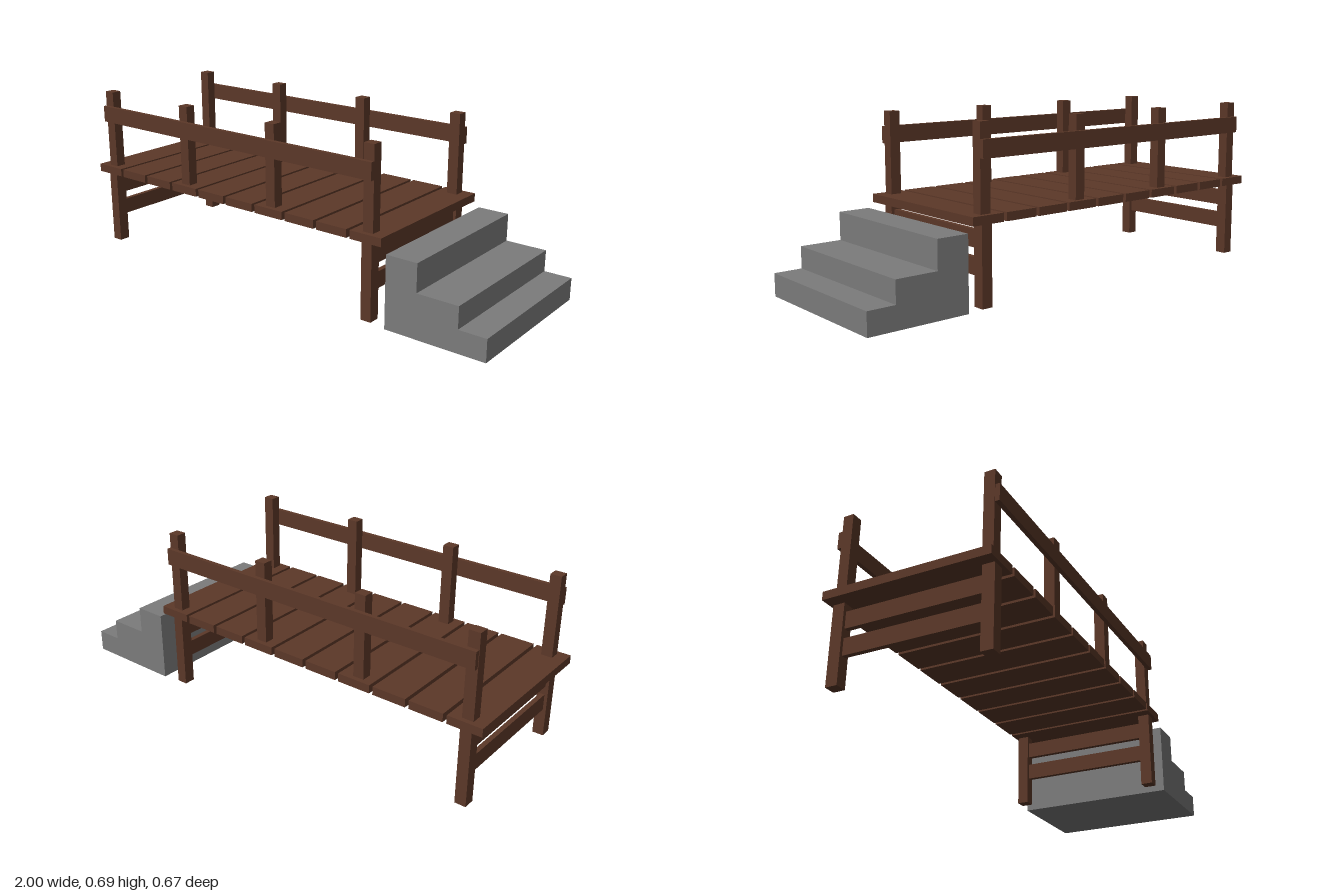
import * as THREE from 'three';

const wood = new THREE.MeshStandardMaterial({ color: 0x5c3828, flatShading: true });
const stone = new THREE.MeshStandardMaterial({ color: 0x7c7c7c, flatShading: true });

// Box given by its extents on each axis
function block(name, [x0, x1], [y0, y1], [z0, z1]) {
  const mesh = new THREE.Mesh(new THREE.BoxGeometry(x1 - x0, y1 - y0, z1 - z0), wood);
  mesh.position.set((x0 + x1) / 2, (y0 + y1) / 2, (z0 + z1) / 2);
  mesh.name = name;
  return mesh;
}

export function createModel() {
  const model = new THREE.Group();
  model.name = 'footbridge';

  // Deck: ten planks with narrow gaps
  const deck = new THREE.Group();
  deck.name = 'deck';
  for (let i = 0; i < 10; i++) {
    const x = -1 + i * 0.157;
    deck.add(block('plank', [x, x + 0.142], [0.318, 0.352], [-0.337, 0.337]));
  }
  model.add(deck);

  // Posts, legs and handrail on both sides
  const postX = [-0.929, -0.465, 0.01, 0.482];
  const half = 0.023;
  for (const side of [1, -1]) {
    const railing = new THREE.Group();
    railing.name = side > 0 ? 'frontRailing' : 'backRailing';
    const span = (a, b) => (side > 0 ? [a, b] : [-b, -a]);
    postX.forEach((x, i) => {
      const xs = [x - half, x + half];
      railing.add(block('railingPost', xs, [0.352, 0.69], span(0.274, 0.317)));
      if (i === 0 || i === 3) railing.add(block('leg', xs, [0, 0.318], span(0.276, 0.324)));
    });
    railing.add(block('handrail', [-0.95, 0.505], [0.557, 0.627], span(0.317, 0.335)));
    model.add(railing);
  }

  // Two cross boards between the legs at each end
  for (const x of [postX[0], postX[3]]) {
    for (const y of [0.115, 0.22]) {
      model.add(block('crossBoard', [x - 0.01, x + 0.01], [y, y + 0.068], [-0.276, 0.276]));
    }
  }

  // Stone steps: one stepped profile extruded across the width
  const profile = new THREE.Shape([
    [0.577, 0], [1, 0], [1, 0.092], [0.885, 0.092], [0.885, 0.181],
    [0.711, 0.181], [0.711, 0.296], [0.577, 0.296],
  ].map(([x, y]) => new THREE.Vector2(x, y)));
  const steps = new THREE.Mesh(
    new THREE.ExtrudeGeometry(profile, { depth: 0.674, bevelEnabled: false }).translate(0, 0, -0.337),
    stone,
  );
  steps.name = 'steps';
  model.add(steps);

  return model;
}
